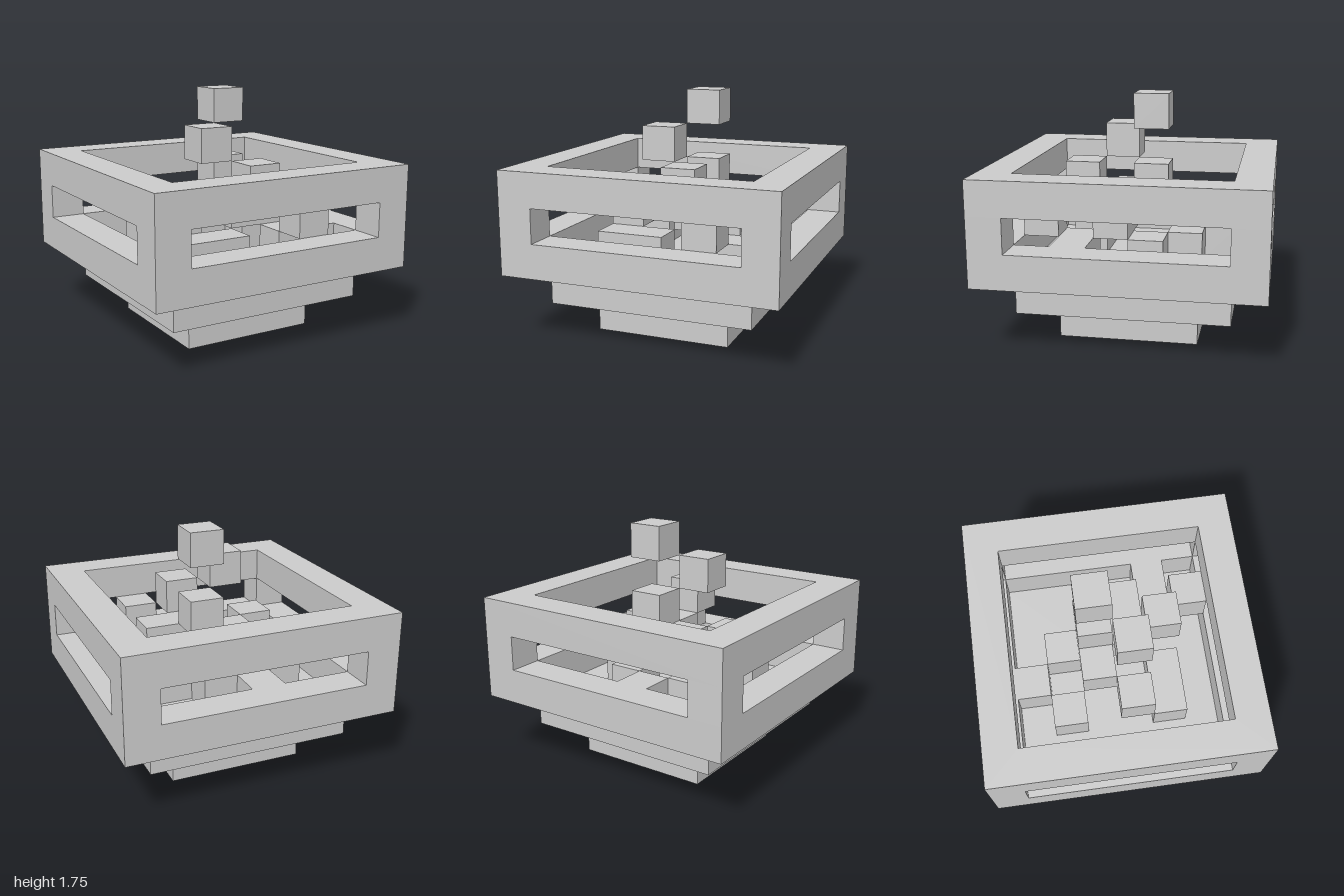
import * as THREE from 'three';

const U = 0.25; // edge length of one block

export function createModel() {
  const group = new THREE.Group();
  const material = new THREE.MeshStandardMaterial({ color: 0xcccccc, flatShading: true });

  const box = (name, w, h, d, x, y, z) => {
    const mesh = new THREE.Mesh(new THREE.BoxGeometry(w, h, d), material);
    mesh.name = name;
    mesh.position.set(x, y + h / 2, z);
    group.add(mesh);
  };

  // Stepped base
  box('foot', 1, U, 1, 0, 0, 0);
  box('bowlFloor', 1.5, U, 1.5, 0, U, 0);

  // Square rings below and above the windows
  const ring = (name, y) => {
    const shape = new THREE.Shape([[-1, -1], [1, -1], [1, 1], [-1, 1]].map(p => new THREE.Vector2(...p)));
    const h = 0.75;
    shape.holes.push(new THREE.Path([[-h, -h], [-h, h], [h, h], [h, -h]].map(p => new THREE.Vector2(...p))));
    const geometry = new THREE.ExtrudeGeometry(shape, { depth: U, bevelEnabled: false });
    geometry.rotateX(-Math.PI / 2);
    const mesh = new THREE.Mesh(geometry, material);
    mesh.name = name;
    mesh.position.y = y;
    group.add(mesh);
  };
  ring('lowerRing', 2 * U);
  ring('upperRing', 4 * U);

  // Corner posts leave a wide window in every wall
  for (const sx of [-1, 1])
    for (const sz of [-1, 1]) box('cornerPost', U, U, U, sx * 0.875, 3 * U, sz * 0.875);

  // Loose blocks in the bowl, per layer: [column, row, blocks wide]
  // counted from the inner left back corner of the 6 x 6 floor
  const layers = {
    2: [[2, 0, 1], [1, 1, 1], [3, 1, 1], [4, 2, 1], [1, 4, 2], [4, 4, 2]],
    3: [[2, 2, 1], [1, 3, 1], [3, 3, 2], [4, 5, 1]],
    4: [[3, 2, 1], [3, 4, 1]],
    5: [[2, 3, 1]],
    6: [[3, 2, 1]],
  };
  for (const [layer, blocks] of Object.entries(layers))
    for (const [col, row, n] of blocks)
      box('block', n * U, U, U, -0.75 + (col + n / 2) * U, layer * U, -0.75 + (row + 0.5) * U);

  return group;
}
